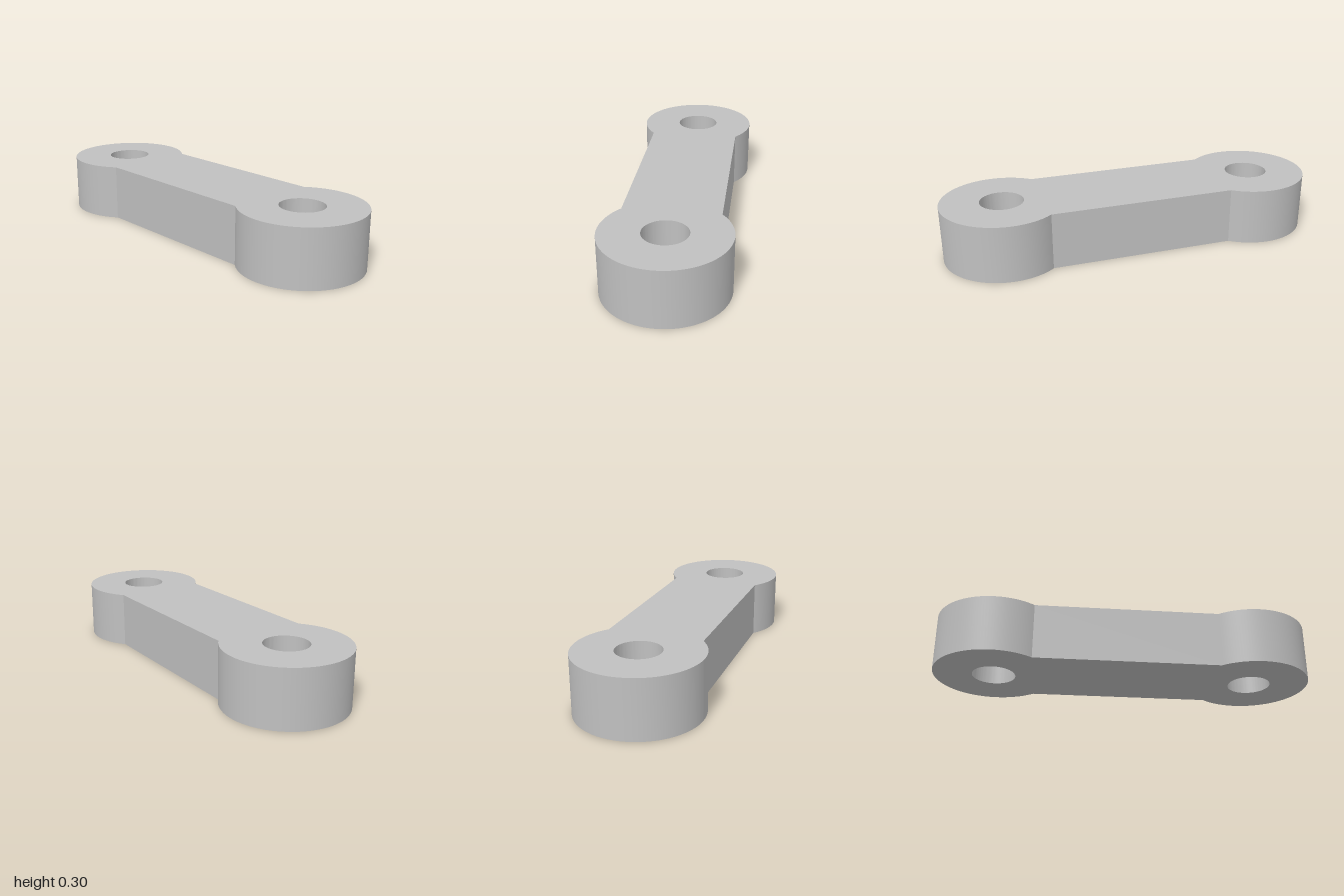
import * as THREE from 'three';
import { toCreasedNormals } from 'three/addons/utils/BufferGeometryUtils.js';

const HEIGHT = 0.297;
const EYE_X = 0.684;      // centre of each round end
const EYE_R = 0.316;      // outer radius of each round end
const HOLE_R = 0.113;
const WEB_HALF = 0.243;   // half width of the straight bar

export function createModel() {
  const group = new THREE.Group();
  group.name = 'linkPlate';

  const metal = new THREE.MeshStandardMaterial({ color: 0xc0c0c0 });
  metal.name = 'grey metal';

  // Outline: two round ends joined by a straight bar
  const neck = Math.asin(WEB_HALF / EYE_R);
  const outline = new THREE.Shape();
  outline.absarc(EYE_X, 0, EYE_R, neck - Math.PI, Math.PI - neck, false);
  outline.absarc(-EYE_X, 0, EYE_R, neck, 2 * Math.PI - neck, false);
  outline.closePath();

  // Pin holes through both ends
  for (const side of [-1, 1]) {
    const hole = new THREE.Path();
    hole.absarc(side * EYE_X, 0, HOLE_R, 0, 2 * Math.PI, true);
    outline.holes.push(hole);
  }

  // Extrude upwards, smooth round walls, crisp edges
  const body = new THREE.ExtrudeGeometry(outline, {
    depth: HEIGHT, bevelEnabled: false, curveSegments: 48,
  });
  body.rotateX(-Math.PI / 2);

  const link = new THREE.Mesh(toCreasedNormals(body, 0.5), metal);
  link.name = 'linkBody';
  group.add(link);
  return group;
}
